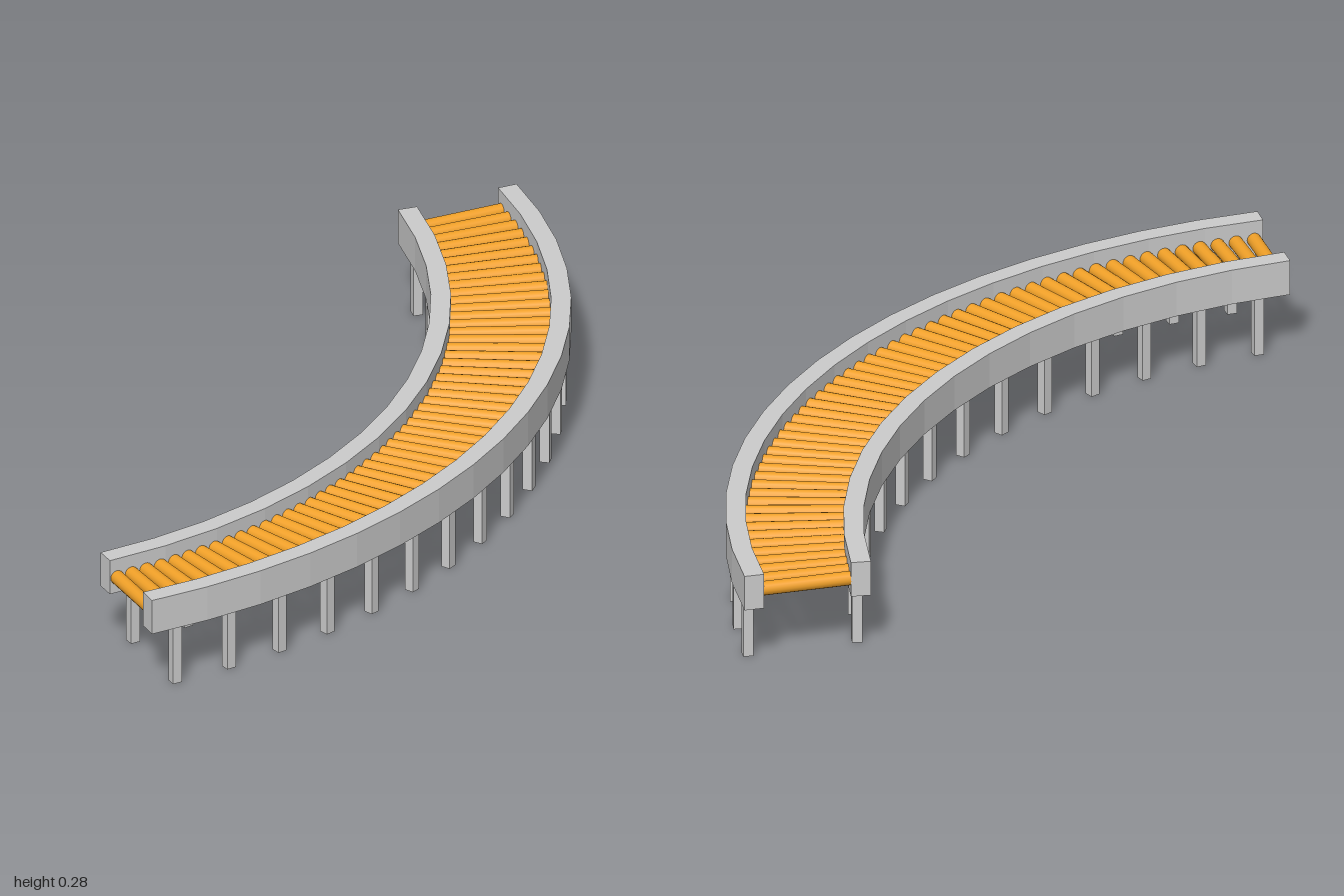
import * as THREE from 'three';

const RAIL_WIDTH = 0.056, RAIL_BOTTOM = 0.18, RAIL_TOP = 0.285;
const LEG_SIZE = 0.028;
const ROLLER_COUNT = 54, ROLLER_RADIUS = 0.02, ROLLER_Y = 0.228;

// Rail centre line in plan; plan y is -z, angles in degrees measured from +z towards +x
function railCurve(cx, cz, rx, rz, from, to) {
  const rad = (d) => THREE.MathUtils.degToRad(d - 90);
  const curve = new THREE.EllipseCurve(cx, -cz, rx, rz, rad(from), rad(to));
  curve.arcLengthDivisions = 400;
  return curve;
}

// Faceted curved rail of constant width
function railGeometry(curve, segments) {
  const outer = [], inner = [];
  for (let i = 0; i <= segments; i++) {
    const p = curve.getPointAt(i / segments);
    const t = curve.getTangentAt(i / segments);
    const n = new THREE.Vector2(t.y, -t.x).multiplyScalar(RAIL_WIDTH / 2);
    outer.push(p.clone().add(n));
    inner.push(p.clone().sub(n));
  }
  const shape = new THREE.Shape([...outer, ...inner.reverse()]);
  const geometry = new THREE.ExtrudeGeometry(shape, {
    depth: RAIL_TOP - RAIL_BOTTOM, bevelEnabled: false,
  });
  geometry.rotateX(-Math.PI / 2);
  geometry.translate(0, RAIL_BOTTOM, 0);
  return geometry;
}

export function createModel() {
  const model = new THREE.Group();
  model.name = 'curvedRollerConveyor';
  const grey = new THREE.MeshStandardMaterial({ color: 0xcccccc, flatShading: true });
  const orange = new THREE.MeshStandardMaterial({ color: 0xf0a028 });

  const rails = [
    { name: 'outer', curve: railCurve(-1, -0.95, 1.972, 1.822, 0, 88.4), segments: 17 },
    { name: 'inner', curve: railCurve(-1.04, -1.11, 1.717, 1.717, 1.3, 83), segments: 14 },
  ];

  // Side rails, with one leg under the middle of each segment
  const legGeometry = new THREE.BoxGeometry(LEG_SIZE, RAIL_BOTTOM + 0.01, LEG_SIZE);
  for (const { name, curve, segments } of rails) {
    const rail = new THREE.Mesh(railGeometry(curve, segments), grey);
    rail.name = name + 'Rail';
    model.add(rail);

    const legs = new THREE.Group();
    legs.name = name + 'Legs';
    for (let i = 0; i < segments; i++) {
      const u = (i + 0.5) / segments;
      const p = curve.getPointAt(u), t = curve.getTangentAt(u);
      const leg = new THREE.Mesh(legGeometry, grey);
      leg.name = name + 'Leg';
      leg.position.set(p.x, (RAIL_BOTTOM + 0.01) / 2, -p.y);
      leg.rotation.y = Math.atan2(t.y, t.x);
      legs.add(leg);
    }
    model.add(legs);
  }

  // Rollers spanning between the rails
  const rollers = new THREE.Group();
  rollers.name = 'rollers';
  const rollerGeometry = new THREE.CylinderGeometry(ROLLER_RADIUS, ROLLER_RADIUS, 1, 16);
  const up = new THREE.Vector3(0, 1, 0);
  for (let i = 0; i < ROLLER_COUNT; i++) {
    const [a, b] = rails.map(({ curve }) => {
      const p = curve.getPointAt((i + 0.5) / ROLLER_COUNT);
      return new THREE.Vector3(p.x, ROLLER_Y, -p.y);
    });
    const roller = new THREE.Mesh(rollerGeometry, orange);
    roller.name = 'roller';
    roller.scale.y = a.distanceTo(b) - RAIL_WIDTH * 0.8;
    roller.position.lerpVectors(a, b, 0.5);
    roller.quaternion.setFromUnitVectors(up, b.sub(a).normalize());
    rollers.add(roller);
  }
  model.add(rollers);

  return model;
}
